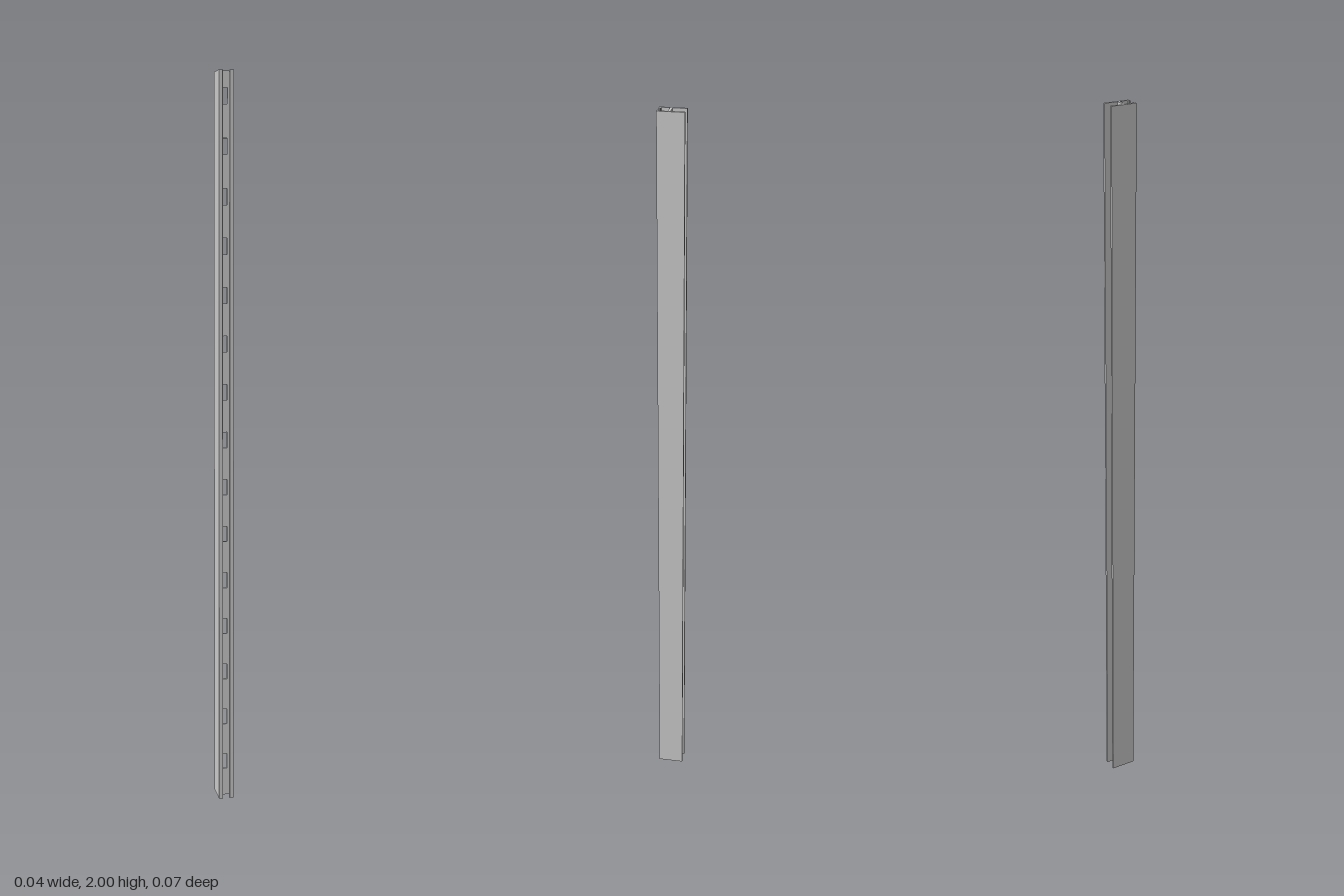
import * as THREE from 'three';

const LENGTH = 2, HALF_W = 0.0205, HALF_D = 0.035;
const WALL = 0.006, LIP_X = 0.0085, LIP_T = 0.006;
const WEB_Z = 0.001, WEB_T = 0.0065;
const SLOTS = 15, PITCH = 0.1312, FIRST_SLOT = 0.099, SLOT_W = 0.015, SLOT_H = 0.043;

const material = new THREE.MeshStandardMaterial({ color: 0xcccccc, flatShading: true });

// Side wall with its inward front lip, drawn in plan and extruded upwards
function sideWall(side) {
  const inner = HALF_W - WALL, r = 0.0015;
  const plan = [
    [inner, -HALF_D], [HALF_W, -HALF_D], [HALF_W, HALF_D],
    [LIP_X + r, HALF_D], [LIP_X, HALF_D - r],
    [LIP_X, HALF_D - LIP_T + r], [LIP_X + r, HALF_D - LIP_T],
    [inner, HALF_D - LIP_T],
  ];
  const shape = new THREE.Shape(plan.map(([x, z]) => new THREE.Vector2(side * x, -z)));
  const geometry = new THREE.ExtrudeGeometry(shape, { depth: LENGTH, bevelEnabled: false });
  geometry.rotateX(-Math.PI / 2);
  return new THREE.Mesh(geometry, material);
}

function rectangle(Path, w, y0, y1) {
  return new Path([
    new THREE.Vector2(-w / 2, y0), new THREE.Vector2(w / 2, y0),
    new THREE.Vector2(w / 2, y1), new THREE.Vector2(-w / 2, y1),
  ]);
}

// Web joining the walls, with a row of evenly spaced slots
function slottedWeb() {
  const shape = rectangle(THREE.Shape, 2 * (HALF_W - WALL), 0, LENGTH);
  for (let i = 0; i < SLOTS; i++) {
    const y = FIRST_SLOT + i * PITCH;
    shape.holes.push(rectangle(THREE.Path, SLOT_W, y - SLOT_H / 2, y + SLOT_H / 2));
  }
  const geometry = new THREE.ExtrudeGeometry(shape, { depth: WEB_T, bevelEnabled: false });
  geometry.translate(0, 0, WEB_Z);
  return new THREE.Mesh(geometry, material);
}

export function createModel() {
  const rail = new THREE.Group();
  rail.name = 'slottedRail';
  for (const side of [1, -1]) {
    const wall = sideWall(side);
    wall.name = side > 0 ? 'leftWall' : 'rightWall';
    rail.add(wall);
  }
  const web = slottedWeb();
  web.name = 'slottedWeb';
  rail.add(web);
  return rail;
}
